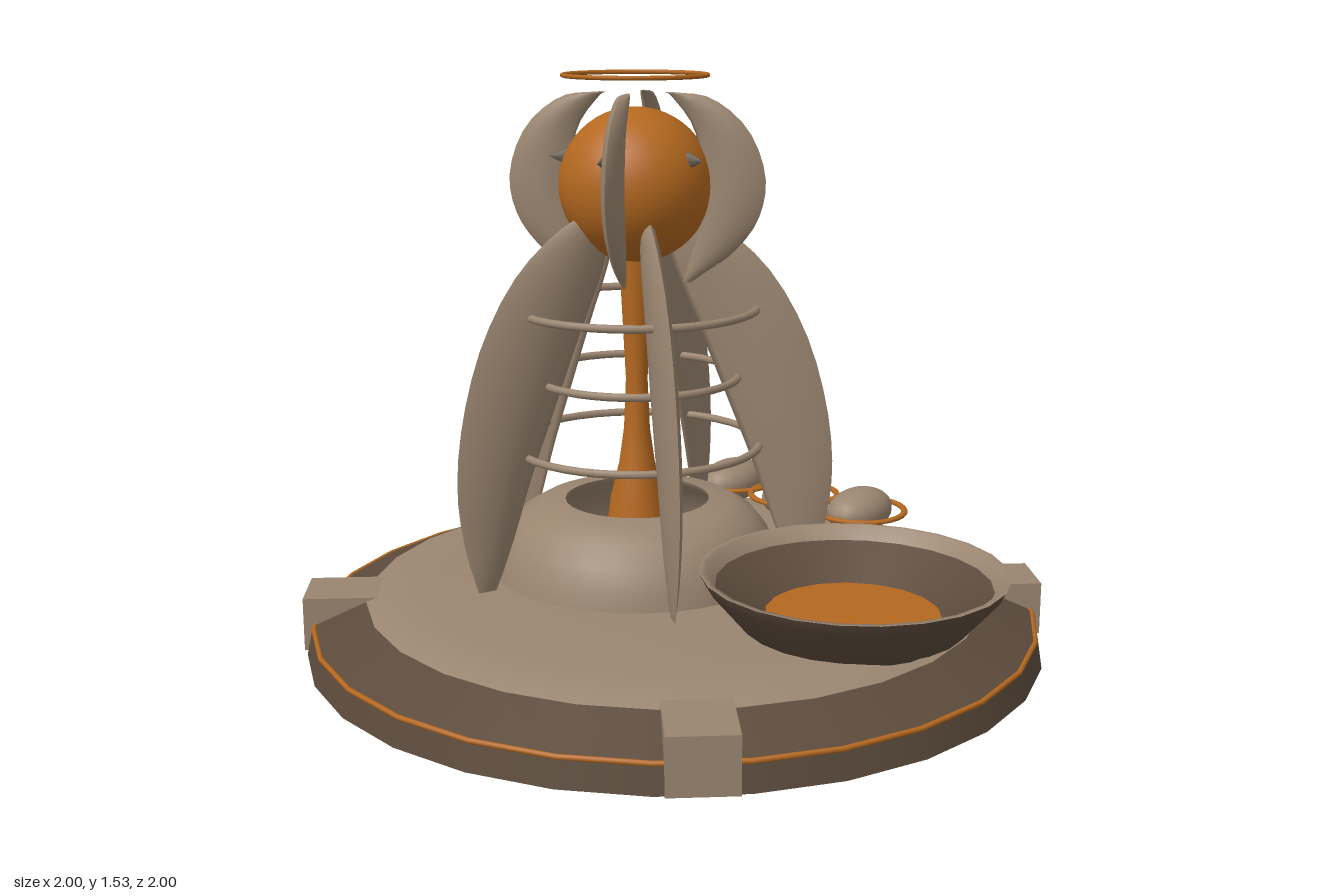
import * as THREE from 'three';

const mat = (name, color) => {
  const m = new THREE.MeshStandardMaterial({ color });
  m.name = name;
  return m;
};

export function createModel() {
  const bone = mat('bone', 0x9a8570);
  const dark = mat('dark brown', 0x5c4b3c);
  const amber = mat('amber', 0xb4681f);
  const thorn = mat('thorn grey', 0x655d54);

  const model = new THREE.Group();
  model.name = 'pedestalSculpture';

  const add = (name, geometry, material, x = 0, y = 0, z = 0, parent = model) => {
    const mesh = new THREE.Mesh(geometry, material);
    mesh.name = name;
    mesh.position.set(x, y, z);
    parent.add(mesh);
    return mesh;
  };
  const lathe = (points, sides) =>
    new THREE.LatheGeometry(points.map(([r, y]) => new THREE.Vector2(r, y)), sides);
  const hoop = (radius, tube, sides = 40) =>
    new THREE.TorusGeometry(radius, tube, 8, sides).rotateX(Math.PI / 2);

  // Upright blade with a sharp lens section; rows are (inner radius, outer radius, height)
  const blade = (rows, thickness) => {
    const curve = new THREE.CatmullRomCurve3(rows.map(p => new THREE.Vector3(...p)));
    const geometry = new THREE.CylinderGeometry(1, 1, 1, 12, 20, true);
    const pos = geometry.attributes.position;
    const p = new THREE.Vector3();
    for (let i = 0; i < pos.count; i++) {
      const t = THREE.MathUtils.clamp(pos.getY(i) + 0.5, 0, 1);
      curve.getPoint(t, p);
      const half = (p.y - p.x) / 2;
      const thick = thickness * Math.pow(Math.max(0, Math.sin(Math.PI * t)), 0.6);
      const side = pos.getX(i);
      pos.setXYZ(i, side * Math.abs(side) * thick, p.z, (p.x + p.y) / 2 + pos.getZ(i) * half);
    }
    geometry.computeVertexNormals();
    return geometry;
  };

  // Round base, hollow underneath
  const SIDES = 28;
  add('baseCeiling', lathe([[0, 0.12], [0.6, 0.12]], SIDES), dark);
  add('baseHollow', lathe([[0.6, 0.12], [0.84, 0.09], [0.985, 0]], SIDES), dark);
  add('baseBottomEdge', lathe([[0.985, 0], [1, 0]], SIDES), dark);
  add('baseSkirt', lathe([[1, 0], [0.985, 0.07]], SIDES), dark);
  add('baseSlope', lathe([[0.985, 0.07], [0.84, 0.135]], SIDES), dark);
  add('baseTop', lathe([[0.84, 0.135], [0.78, 0.16], [0.66, 0.165], [0, 0.165]], SIDES), bone);
  add('baseTrim', hoop(0.981, 0.007, SIDES), amber, 0, 0.07, 0);

  // Four feet on the diagonals
  for (let i = 0; i < 4; i++) {
    const a = Math.PI / 4 + i * Math.PI / 2;
    const foot = add('foot', new THREE.BoxGeometry(0.17, 0.145, 0.21), bone,
      Math.sin(a) * 0.9, 0.0735, Math.cos(a) * 0.9);
    foot.rotation.y = a;
  }

  // Bowl at the front
  const bowl = new THREE.Group();
  bowl.name = 'bowl';
  bowl.position.set(0, 0, 0.6);
  model.add(bowl);
  const inBowl = (name, geometry, material, y = 0) => add(name, geometry, material, 0, y, 0, bowl);
  inBowl('bowlFoot', lathe([[0.2, 0.125], [0.25, 0.172]], 24), dark);
  inBowl('bowlOutside', lathe([[0.25, 0.172], [0.285, 0.18], [0.375, 0.285], [0.39, 0.315]], 24), dark);
  inBowl('bowlRim', lathe([[0.39, 0.315], [0.375, 0.315], [0.35, 0.28]], 24), bone);
  inBowl('bowlInside', lathe([[0.35, 0.28], [0.21, 0.195]], 24), dark);
  inBowl('bowlLiquid', new THREE.CircleGeometry(0.223, 18).rotateX(-Math.PI / 2), amber, 0.203);

  // Eggs in their rings
  for (const z of [-0.325, -0.083, 0.163]) {
    add('egg', new THREE.SphereGeometry(1, 20, 14).scale(0.12, 0.066, 0.082), bone, 0.645, 0.235, z);
    add('eggRing', hoop(0.132, 0.01, 28).scale(1, 0.7, 1), amber, 0.645, 0.235, z);
  }

  // Tower
  const tower = new THREE.Group();
  tower.name = 'tower';
  tower.position.set(0, 0, -0.14);
  model.add(tower);
  const onTower = (name, geometry, material, y = 0) => add(name, geometry, material, 0, y, 0, tower);

  onTower('mound', lathe([[0.4, 0.16], [0.39, 0.21], [0.365, 0.27], [0.325, 0.32],
    [0.27, 0.352], [0.2, 0.36]], 32), bone);
  onTower('moundHollow', lathe([[0.2, 0.36], [0.205, 0.345], [0.27, 0.31], [0.33, 0.24], [0.35, 0.165]], 32), bone);

  onTower('column', lathe([[0.1, 0.16], [0.075, 0.36], [0.05, 0.46], [0.036, 0.56],
    [0.03, 0.7], [0.036, 0.82], [0.042, 0.94], [0.05, 1.06]], 20), amber);
  onTower('head', new THREE.SphereGeometry(0.207, 32, 24), amber, 1.232);
  onTower('halo', hoop(0.193, 0.006), amber, 1.522);

  // Hoops between the fins
  for (const [y, r] of [[0.52, 0.34], [0.71, 0.28], [0.9, 0.33]]) {
    onTower('hoop', hoop(r, 0.011), bone, y);
  }

  const finShape = blade([[0.435, 0.485, 0.16], [0.38, 0.523, 0.3], [0.325, 0.54, 0.46],
    [0.25, 0.518, 0.65], [0.17, 0.455, 0.85], [0.1, 0.35, 1.02], [0.085, 0.22, 1.13],
    [0.1, 0.11, 1.18]], 0.03);
  const petalShape = blade([[0.13, 0.15, 0.97], [0.15, 0.26, 1.05], [0.17, 0.33, 1.14],
    [0.18, 0.352, 1.25], [0.16, 0.305, 1.38], [0.1, 0.2, 1.465], [0.08, 0.1, 1.478]], 0.028);
  const studShape = new THREE.ConeGeometry(0.02, 0.05, 8).rotateX(Math.PI / 2)
    .scale(0.5, 1.2, 1).translate(0, 0.075, 0.21);

  // Five fins, with head studs over the gaps
  for (let i = 0; i < 5; i++) {
    const a = i * Math.PI * 2 / 5;
    onTower('fin', finShape, bone).rotation.y = Math.PI + a;
    onTower('headStud', studShape, thorn, 1.232).rotation.y = a;
  }
  // Four petals around the head
  for (let i = 0; i < 4; i++) {
    onTower('petal', petalShape, bone).rotation.y = Math.PI / 6 + i * Math.PI / 2;
  }

  return model;
}
